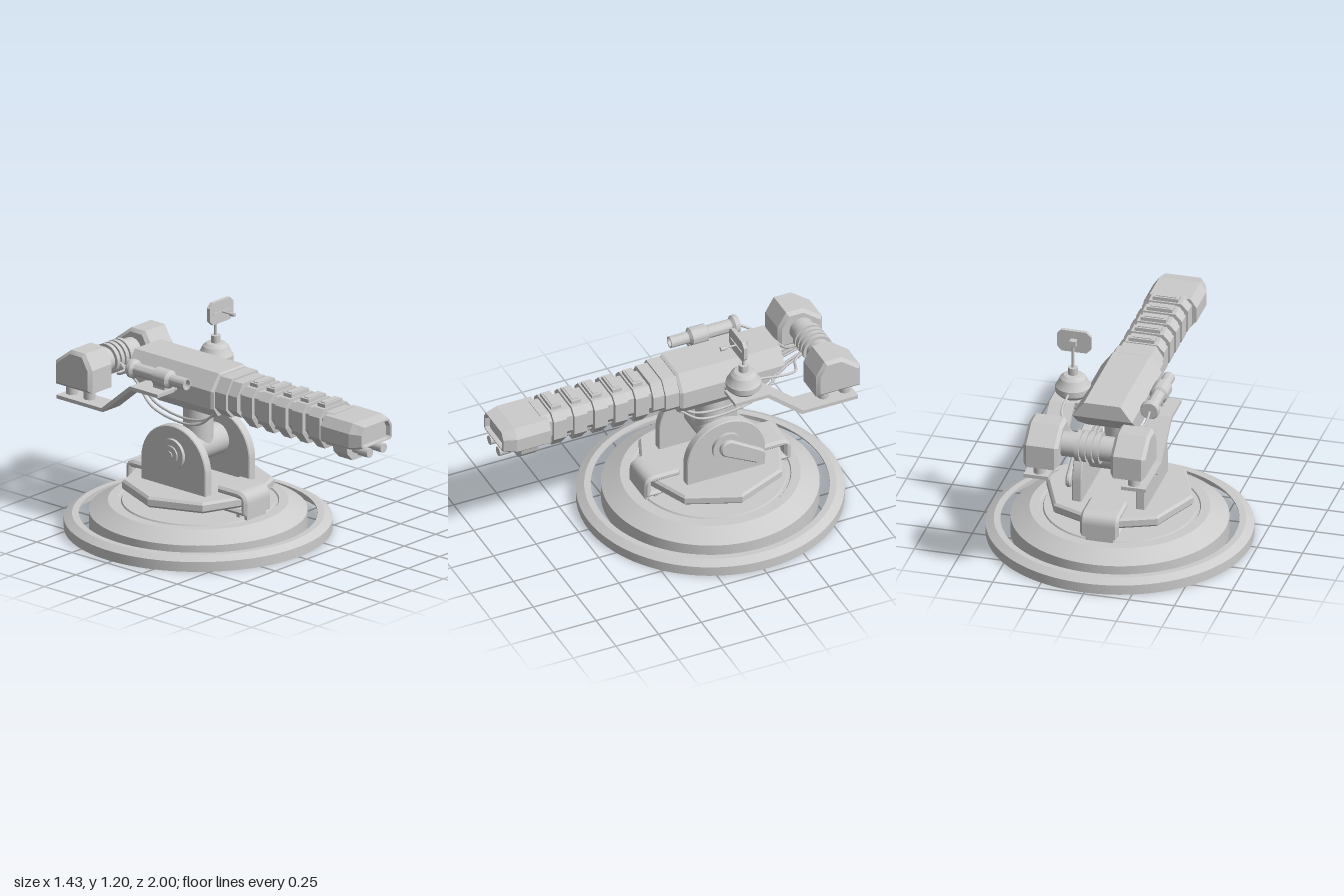
import * as THREE from 'three';
import { toCreasedNormals } from 'three/addons/utils/BufferGeometryUtils.js';

const mat = new THREE.MeshStandardMaterial({ color: 0xcccccc, side: THREE.DoubleSide });
const CZ = -0.27; // turntable axis

export function createModel() {
  const root = new THREE.Group();
  const add = (name, geo, x = 0, y = 0, z = 0, parent = root) => {
    const m = new THREE.Mesh(geo, mat);
    m.name = name;
    m.position.set(x, y, z);
    parent.add(m);
  };
  const V = (x, y) => new THREE.Vector2(x, y);
  const lathe = (pts, seg = 64, crease = 0.4) =>
    toCreasedNormals(new THREE.LatheGeometry(pts.map(p => V(...p)), seg), crease);
  const box = (w, h, d) => new THREE.BoxGeometry(w, h, d);
  const cylX = (r, len) => new THREE.CylinderGeometry(r, r, len, 32).rotateZ(Math.PI / 2);
  const cylZ = (r, len) => new THREE.CylinderGeometry(r, r, len, 20).rotateX(Math.PI / 2);
  // Shape drawn in (z, y), extruded along x and centred on x = 0
  const extrudeX = (shape, width, bevel = 0) => {
    const g = new THREE.ExtrudeGeometry(shape, {
      depth: width - 2 * bevel, bevelEnabled: bevel > 0, bevelSize: bevel, bevelOffset: -bevel,
      bevelThickness: bevel, bevelSegments: 1, curveSegments: 20,
    });
    g.translate(0, 0, -(width - 2 * bevel) / 2).rotateY(-Math.PI / 2);
    return toCreasedNormals(g, 0.5);
  };
  const poly = pts => new THREE.Shape(pts.map(p => V(...p)));
  // Half section [x, y] from bottom to top, mirrored to a closed outline
  const mirror = half => [...half, ...half.map(([x, y]) => [-x, y]).reverse()];
  // Skin mirrored outlines of [x, y, z] points; the caps are strips between mirrored pairs
  const loft = rings => {
    const p = [], n = rings[0].length, last = rings.length - 1;
    const quad = (a, b, c, d) => p.push(...a, ...b, ...c, ...a, ...c, ...d);
    for (let k = 0; k < last; k++) for (let i = 0; i < n; i++) {
      const j = (i + 1) % n;
      quad(rings[k][i], rings[k][j], rings[k + 1][j], rings[k + 1][i]);
    }
    const s = rings[0], e = rings[last];
    for (let i = 0; i < n / 2 - 1; i++) {
      quad(s[n - 1 - i], s[n - 2 - i], s[i + 1], s[i]);
      quad(e[i], e[i + 1], e[n - 2 - i], e[n - 1 - i]);
    }
    const g = new THREE.BufferGeometry();
    g.setAttribute('position', new THREE.Float32BufferAttribute(p, 3));
    g.computeVertexNormals();
    return g;
  };
  const ring = (half, z, s = 1, cy = 0.82) =>
    mirror(half).map(([x, y]) => [x * s, cy + (y - cy) * s, z]);
  const tube = (name, pts, r) => add(name, new THREE.TubeGeometry(
    new THREE.CatmullRomCurve3(pts.map(q => new THREE.Vector3(...q))), 32, r, 8));

  // Ground ring and turntable disc, both hollow shells; a core plate closes the disc
  add('groundRing', lathe([[0.635, 0.072], [0.665, 0.072], [0.704, 0.052], [0.704, 0], [0.714, 0], [0.714, 0.055],
    [0.67, 0.08], [0.635, 0.08], [0.635, 0.072]], 96), 0, 0, CZ);
  add('baseDisc', lathe([[0, 0.025], [0.41, 0.025], [0.415, 0.018], [0.44, 0.018], [0.445, 0.025], [0.455, 0.145],
    [0.475, 0.145], [0.572, 0.095], [0.572, 0], [0.581, 0], [0.581, 0.1], [0.48, 0.155], [0.43, 0.155],
    [0.425, 0.148], [0.41, 0.148], [0.405, 0.156], [0, 0.156]], 96), 0, 0, CZ);

  // Octagonal platform, a vertex pointing sideways
  add('platform', lathe([[0, 0.215], [0.392, 0.215], [0.405, 0.228], [0.405, 0.262],
    [0.392, 0.275], [0, 0.275]], 8, 0.1), 0, 0, CZ);

  // Clamps holding the platform, front and rear
  const clampShape = poly([[0.43, 0.18], [0.43, 0.25]]);
  clampShape.quadraticCurveTo(0.43, 0.312, 0.36, 0.312);
  for (const q of [[0.22, 0.312], [0.22, 0.27], [0.39, 0.27], [0.39, 0.212], [0.17, 0.212], [0.17, 0.18]])
    clampShape.lineTo(...q);
  for (const turn of [0, Math.PI]) {
    const clamp = new THREE.Group();
    clamp.name = 'clamp';
    clamp.position.z = CZ;
    clamp.rotation.y = turn;
    root.add(clamp);
    add('clampHook', extrudeX(clampShape, 0.21, 0.014), 0, 0, 0, clamp);
    for (const z of [0.405, 0.35]) add('clampFoot', box(0.15, 0.03, 0.02), 0, 0.168, z, clamp);
  }

  // Trunnion brackets, axle and end caps
  const arch = poly([[-0.5, 0.27], [-0.04, 0.27], [-0.04, 0.39]]);
  arch.absarc(CZ, 0.39, 0.23, 0, Math.PI, false);
  add('axle', cylX(0.086, 0.36), 0, 0.465, CZ);
  for (const s of [-1, 1]) {
    add('bracket', extrudeX(arch, 0.052, 0.005), s * 0.175, 0, 0);
    add('axleFlange', cylX(0.085, 0.03), s * 0.205, 0.465, CZ);
    add('axleCap', cylX(0.05, 0.03), s * 0.214, 0.465, CZ);
    add('axlePin', cylX(0.02, 0.03), s * 0.22, 0.465, CZ);
  }
  const lever = new THREE.Shape(), a = Math.atan2(-0.11, -0.18);
  lever.absarc(CZ, 0.467, 0.05, a + Math.PI / 2, a + 1.5 * Math.PI, false);
  lever.absarc(-0.44, 0.37, 0.043, a - Math.PI / 2, a + Math.PI / 2, false);
  add('lever', extrudeX(lever, 0.03, 0.008), 0.23, 0, 0);
  add('neck', new THREE.CylinderGeometry(0.082, 0.082, 0.25, 32), 0, 0.585, CZ);
  add('neckFlange', new THREE.CylinderGeometry(0.12, 0.1, 0.02, 32), 0, 0.702, CZ);

  // Main housing, undercut at the rear
  const hull = [[0.13, 0.71], [0.165, 0.76], [0.165, 0.86], [0.1, 0.946]];
  const rear = ring(hull, -0.63).map(([x, y, z]) => [x, y, z + Math.max(0, 0.85 - y) * 1.4]);
  add('housing', loft([rear, ring(hull, -0.035), ring(hull, -0.02, 0.95)]));

  // Collar, barrel core and ribs
  const collar = [[0.1, 0.72], [0.148, 0.77], [0.148, 0.86], [0.1, 0.935]];
  add('collarRear', loft([ring(collar, -0.03), ring(collar, 0.06)]));
  add('collarFront', loft([ring(collar, 0.06, 0.9), ring(collar, 0.125, 0.9)]));
  const core = [[0.07, 0.73], [0.105, 0.775], [0.105, 0.87], [0.075, 0.9]];
  add('barrelCore', loft([ring(core, 0.1), ring(core, 0.76)]));
  const rib = [[0.07, 0.688], [0.127, 0.76], [0.127, 0.875], [0.09, 0.915]];
  for (let i = 0; i < 5; i++) {
    const z = 0.187 + i * 0.12;
    // The lower end of each rib is narrower along the barrel
    const side = s => ring(rib, z).map(([x, y]) => [x, y, z + s * (y < 0.7 ? 0.028 : 0.038)]);
    add('barrelRib', loft([side(-1), side(1)]));
    add('ribCap', box(0.14, 0.03, 0.056), 0, 0.92, z);
    add('ribCapInset', box(0.11, 0.01, 0.035), 0, 0.934, z);
  }

  // Muzzle with recessed face, and the tubes beneath
  const muzzle = [[0.135, 0.755], [0.147, 0.767], [0.147, 0.845], [0.112, 0.896]];
  const tip = [[0.11, 0.768], [0.122, 0.78], [0.122, 0.845], [0.098, 0.884]];
  add('muzzle', loft([ring(muzzle, 0.73), ring(muzzle, 0.93), ring(tip, 1),
    ring(tip, 1, 0.88), ring(tip, 0.975, 0.82)]));
  for (const s of [-1, 1]) {
    add('lowerTube', cylZ(0.02, 0.85), s * 0.055, 0.73, 0.55);
    add('tubeTip', cylZ(0.026, 0.07), s * 0.055, 0.73, 0.965);
  }
  const block = [[0.07, 0.668], [0.11, 0.71], [0.12, 0.76]];
  add('tubeBlock', loft([ring(block, 0.79), ring(block, 0.89)]));

  // Rear counterweights on their shelves
  const weight = poly([[-1, 0.72], [-0.74, 0.72], [-0.74, 0.85], [-0.79, 0.935], [-0.89, 0.935], [-1, 0.85]]);
  const shelf = poly([[-0.98, 0.645], [-0.65, 0.645], [-0.45, 0.815], [-0.26, 0.815], [-0.26, 0.835],
    [-0.46, 0.835], [-0.66, 0.665], [-0.98, 0.665]]);
  for (const s of [-1, 1]) {
    add('counterweight', extrudeX(weight, 0.19, 0.018), s * 0.24, 0, 0);
    add('shelf', extrudeX(shelf, 0.135), s * 0.268, 0, 0);
    add('shelfArm', box(0.07, 0.02, 0.17), s * 0.185, 0.825, -0.36);
    for (const z of [-0.81, -0.935])
      add('weightFoot', new THREE.CylinderGeometry(0.032, 0.032, 0.07, 20), s * 0.26, 0.69, z);
  }
  add('crossbar', cylX(0.068, 0.32), 0, 0.82, -0.87);
  for (let i = 0; i < 4; i++)
    add('crossbarRing', cylX(0.085, 0.024), (i - 1.5) * 0.036, 0.82, -0.87);

  // Sight pod on the right side
  const pod = lathe([[0, 0], [0.045, 0], [0.052, 0.01], [0.052, 0.03], [0.036, 0.045], [0.036, 0.18], [0.05, 0.19],
    [0.05, 0.28], [0.032, 0.295], [0.032, 0.4], [0.024, 0.4], [0.024, 0.37], [0, 0.37]], 32);
  add('sightPod', pod.rotateX(Math.PI / 2), -0.235, 0.895, -0.54);
  add('podMount', box(0.05, 0.06, 0.08), -0.235, 0.855, -0.32);

  // Sensor dome, mast and dish on the left side
  add('sensorDome', lathe([[0, 0.83], [0.07, 0.835], [0.095, 0.86], [0.095, 0.893], [0.088, 0.9], [0.07, 0.94],
    [0.05, 0.957], [0.026, 0.96], [0.026, 1], [0.008, 1], [0.008, 1.15], [0, 1.15]], 32), 0.235, 0, -0.355);
  const dishRow = (w, y) => [[w, y, 0.022], [w, y, 0], [-w, y, 0], [-w, y, 0.022]];
  add('dish', loft([dishRow(0.068, -0.062), dishRow(0.094, -0.036),
    dishRow(0.094, 0.036), dishRow(0.068, 0.062)]), 0.235, 1.142, -0.335);
  add('dishMount', box(0.035, 0.035, 0.04), 0.235, 1.142, -0.35);
  add('feedBar', box(0.14, 0.006, 0.008), 0.235, 1.142, -0.311);
  add('feedRod', cylZ(0.005, 0.1), 0.235, 1.142, -0.28);
  add('feedTip', cylZ(0.011, 0.03), 0.235, 1.142, -0.235);

  // Cables
  for (const s of [-1, 1]) {
    for (let i = 0; i < 2; i++) {
      const x = s * (0.105 + i * 0.035), d = i * 0.015;
      tube('underCable', [[x, 0.73, -0.03], [x, 0.66 - d, -0.14], [x * 0.9, 0.635 - d, -0.3], [x * 0.8, 0.67 - d, -0.5],
        [s * (0.03 + i * 0.025), 0.75, -0.67], [s * (0.02 + i * 0.015), 0.8, -0.8]], 0.007);
    }
    tube('sideCable', [[s * 0.03, 0.81, -0.8], [s * 0.06, 0.79, -0.74], [s * 0.17, 0.81, -0.69],
      [s * 0.23, 0.85, -0.6], [s * 0.237, s > 0 ? 0.88 : 0.895, s > 0 ? -0.43 : -0.53]], 0.007);
  }
  return root;
}
